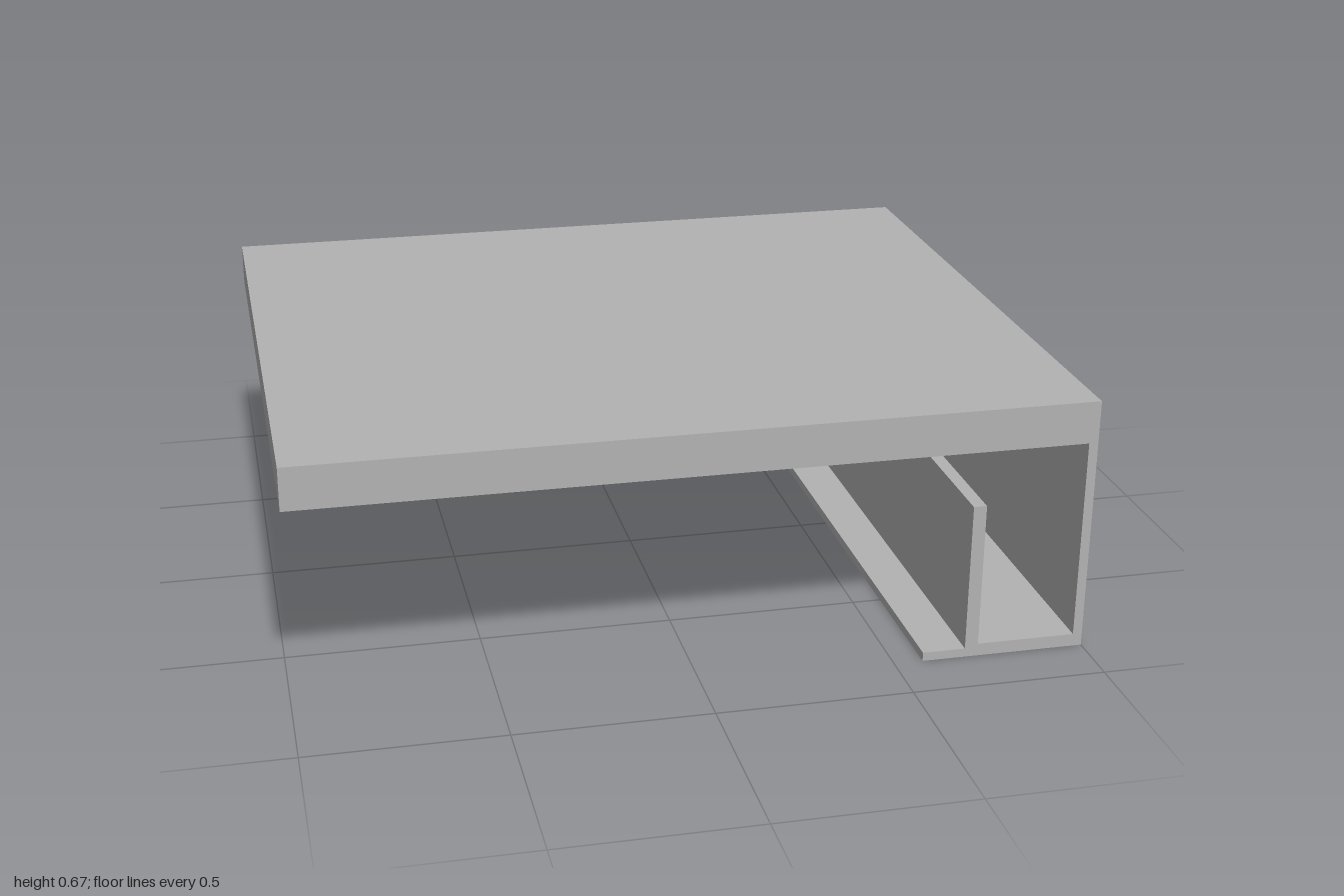
import * as THREE from 'three';

const DEPTH = 1.7;      // full length along z
const TOP = 0.67;       // upper surface
const RIM_BOTTOM = 0.56;
const RIM_TOP = 0.632;  // underside of the top panel
const WALL = 0.024;

function polygon(points) {
  return new THREE.Shape(points.map(([x, y]) => new THREE.Vector2(x, y)));
}

export function createModel() {
  const group = new THREE.Group();
  group.name = 'canopyWithChannel';
  const grey = new THREE.MeshStandardMaterial({ color: 0xb2b2b2 });
  grey.name = 'grey';

  const add = (name, geometry) => {
    const mesh = new THREE.Mesh(geometry, grey);
    mesh.name = name;
    group.add(mesh);
    return mesh;
  };

  // Flat top panel
  add('topPanel', new THREE.BoxGeometry(2, TOP - RIM_TOP, DEPTH))
    .position.y = (TOP + RIM_TOP) / 2;

  // Thin rim hanging round the panel, open underneath
  const h = DEPTH / 2, ix = 1 - WALL, iz = h - WALL;
  const rim = polygon([[-1, -h], [1, -h], [1, h], [-1, h]]);
  rim.holes.push(polygon([[-ix, -iz], [-ix, iz], [ix, iz], [ix, -iz]]));
  const rimGeometry = new THREE.ExtrudeGeometry(rim, { depth: RIM_TOP - RIM_BOTTOM, bevelEnabled: false });
  rimGeometry.rotateX(-Math.PI / 2);
  add('rim', rimGeometry).position.y = RIM_BOTTOM;

  // Side wall, floor, upright fin and thin lip in one profile
  const channel = polygon([
    [0.575, 0], [1, 0], [1, RIM_BOTTOM], [ix, RIM_BOTTOM], [ix, 0.033],
    [0.72, 0.033], [0.72, 0.415], [0.686, 0.415], [0.686, 0.023], [0.575, 0.023],
  ]);
  add('sideChannel', new THREE.ExtrudeGeometry(channel, { depth: DEPTH, bevelEnabled: false }))
    .position.z = -h;

  return group;
}
